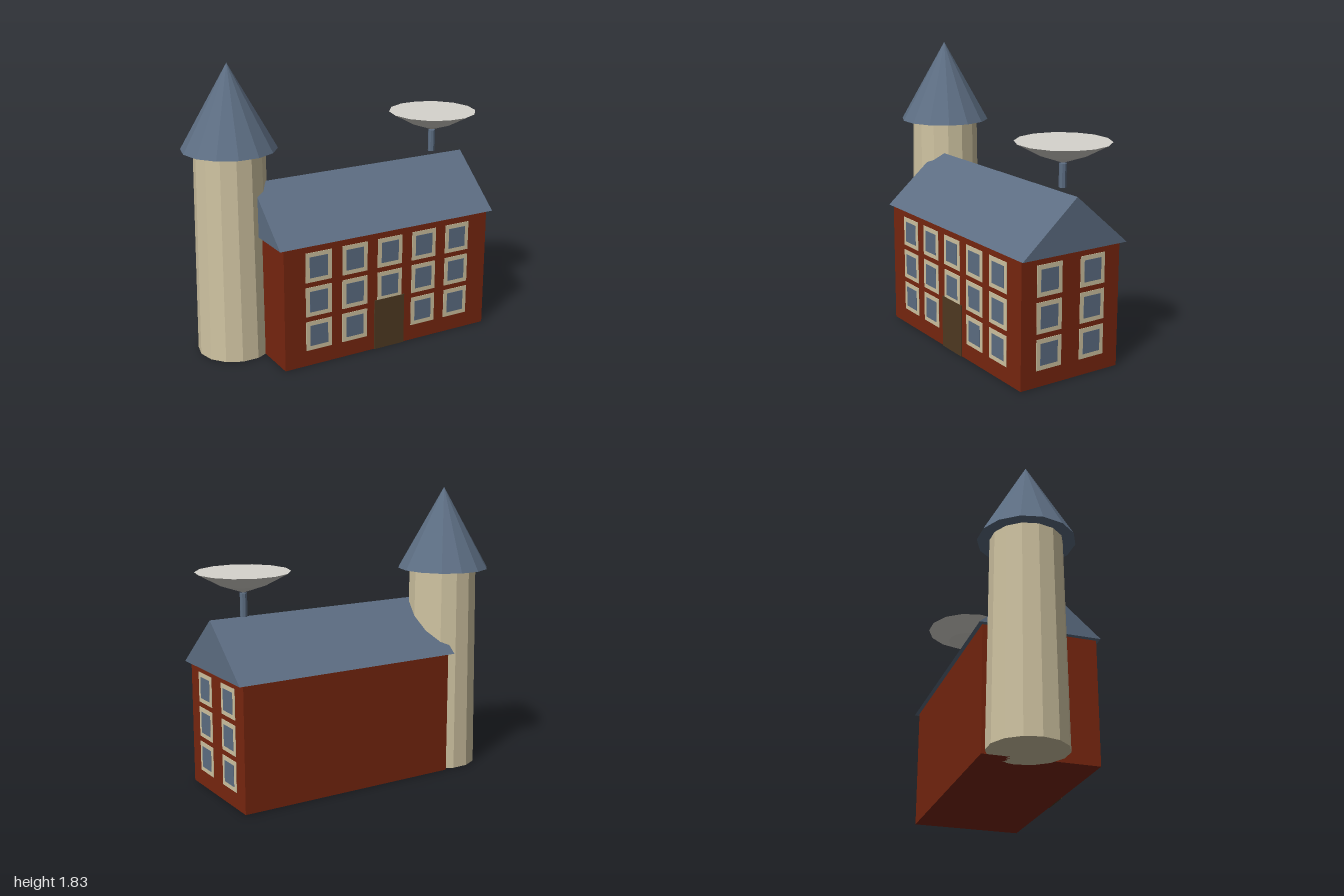
import * as THREE from 'three';

const material = (name, color) => {
  const m = new THREE.MeshStandardMaterial({ color });
  m.name = name;
  return m;
};

export function createModel() {
  const brick = material('brick red', 0x78260f);
  const slate = material('slate blue', 0x5d6e83);
  const stone = material('sandstone', 0xd0c4a2);
  const wood = material('dark wood', 0x503a22);
  const metal = material('pale metal', 0xd6d4cd);

  const model = new THREE.Group();
  model.name = 'house';

  const add = (parent, name, geometry, mat, x = 0, y = 0, z = 0) => {
    const mesh = new THREE.Mesh(geometry, mat);
    mesh.name = name;
    mesh.position.set(x, y, z);
    parent.add(mesh);
    return mesh;
  };

  // Faceted geometry with hard edges; corners lie on the x axis
  const faceted = (geometry) => {
    const flat = geometry.toNonIndexed();
    flat.computeVertexNormals();
    return flat;
  };
  const drum = (top, bottom, height, sides) =>
    faceted(new THREE.CylinderGeometry(top, bottom, height, sides, 1, false, Math.PI / 2));

  // Main block
  const left = -0.59, right = 0.88, front = 0.37, back = -0.335, eaves = 0.785;
  add(model, 'walls', new THREE.BoxGeometry(right - left, eaves, front - back), brick,
    (left + right) / 2, eaves / 2, (front + back) / 2);

  // Gabled roof: triangular section swept along x
  const gable = new THREE.Shape();
  gable.moveTo(-0.387, 0.783);
  gable.lineTo(0.36, 0.783);
  gable.lineTo(-0.013, 1.105);
  gable.closePath();
  const roof = new THREE.ExtrudeGeometry(gable, { depth: 1.535, bevelEnabled: false });
  roof.rotateY(Math.PI / 2);
  add(model, 'roof', roof, slate, -0.62, 0, 0);

  // Windows: a frame with a glass pane on it
  const frameGeo = new THREE.BoxGeometry(0.178, 0.19, 0.006);
  const glassGeo = new THREE.BoxGeometry(0.123, 0.134, 0.006);
  const addWindow = (x, y, z, turn) => {
    const win = new THREE.Group();
    win.name = 'window';
    add(win, 'windowFrame', frameGeo, stone);
    add(win, 'windowGlass', glassGeo, slate, 0, 0, 0.002);
    win.position.set(x, y, z);
    win.rotation.y = turn;
    model.add(win);
  };
  const rows = [0.197, 0.42, 0.642];
  rows.forEach((y, row) => {
    for (let col = 0; col < 5; col++) {
      if (row === 0 && col === 2) continue; // place of the door
      addWindow(-0.358 + col * 0.252, y, front, 0);
    }
    for (const z of [0.174, -0.136]) addWindow(right, y, z, Math.PI / 2);
  });

  // Door
  add(model, 'door', new THREE.BoxGeometry(0.218, 0.333, 0.009), wood, 0.145, 0.1665, front + 0.002);

  // Round tower with a pointed roof
  const tower = new THREE.Group();
  tower.name = 'tower';
  tower.position.set(-0.707, 0, -0.105);
  add(tower, 'towerShaft', drum(0.218, 0.235, 1.306, 14), stone, 0, 0.653, 0);
  add(tower, 'towerRoof', drum(0, 0.293, 0.52, 14), slate, 0, 1.565, 0);
  model.add(tower);

  // Dish on a short post above the ridge
  const dish = new THREE.Group();
  dish.name = 'dish';
  dish.position.set(0.714, 0, -0.034);
  add(dish, 'dishPost', drum(0.023, 0.023, 0.142, 8), slate, 0, 1.186, 0);
  const profile = [[0, 1.259], [0.144, 1.309], [0.285, 1.385], [0, 1.385]]
    .map(([r, y]) => new THREE.Vector2(r, y));
  add(dish, 'dishBowl', faceted(new THREE.LatheGeometry(profile, 14, Math.PI / 2)), metal);
  model.add(dish);

  return model;
}
